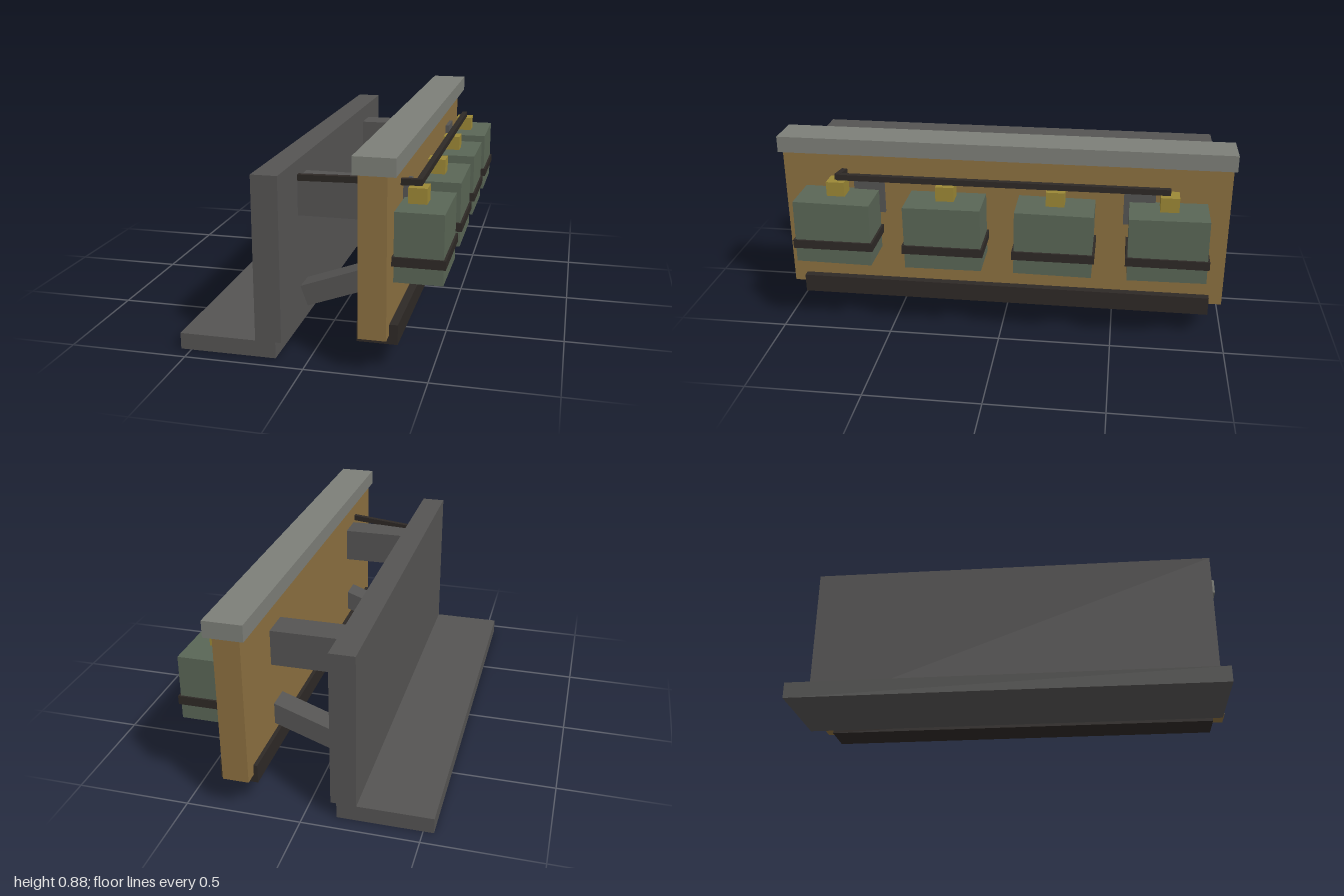
import * as THREE from 'three';

const mat = (color) => new THREE.MeshStandardMaterial({ color, flatShading: true });

export function createModel() {
  const model = new THREE.Group();
  const steel = mat(0x555453), wood = mat(0x8c7040), capGrey = mat(0x7d7f78);
  const green = mat(0x5a6656), brass = mat(0x9c8836), dark = mat(0x2e2926);

  // Box given by its extents on each axis
  function box(name, material, [x0, x1], [y0, y1], [z0, z1], parent = model) {
    const mesh = new THREE.Mesh(new THREE.BoxGeometry(x1 - x0, y1 - y0, z1 - z0), material);
    mesh.position.set((x0 + x1) / 2, (y0 + y1) / 2, (z0 + z1) / 2);
    mesh.name = name;
    parent.add(mesh);
    return mesh;
  }

  // Square bar running between two points
  function bar(name, material, from, to, height, width) {
    const a = new THREE.Vector3(...from), b = new THREE.Vector3(...to);
    const mesh = new THREE.Mesh(new THREE.BoxGeometry(width, height, a.distanceTo(b)), material);
    mesh.position.copy(a).add(b).multiplyScalar(0.5);
    mesh.lookAt(b);
    mesh.name = name;
    model.add(mesh);
  }

  // L-shaped steel support
  box('baseFlange', steel, [-0.545, -0.135], [0, 0.07], [-0.93, 0.93]);
  box('uprightWall', steel, [-0.22, -0.11], [0.07, 0.765], [-0.93, 0.93]);

  // Wooden panel with its cap and bottom rail
  box('woodPanel', wood, [0.22, 0.333], [0.15, 0.81], [-0.99, 0.99]);
  box('panelCap', capGrey, [0.2, 0.368], [0.805, 0.877], [-1, 1]);
  box('bottomRail', dark, [0.203, 0.367], [0.112, 0.195], [-0.93, 0.93]);

  // Arms and sloping braces joining wall and panel
  for (const s of [-1, 1]) {
    const z = s * 0.6;
    box('supportArm', steel, [-0.13, 0.35], [0.53, 0.69], [z - 0.068, z + 0.068]);
    bar('slopingBrace', steel, [-0.093, 0.168, z], [0.27, 0.3, z], 0.092, 0.11);
  }

  // Four strapped cells, each with a terminal on top
  [-0.725, -0.24, 0.24, 0.725].forEach((z, i) => {
    const cell = new THREE.Group();
    cell.name = 'cell';
    model.add(cell);
    const body = box('cellBody', green, [0.34, 0.535], [0.356, 0.64], [z - 0.168, z + 0.168], cell);
    body.rotation.x = [0.012, -0.01, 0.008, -0.012][i];
    box('cellStrap', dark, [0.333, 0.544], [0.425, 0.463], [z - 0.177, z + 0.177], cell);
    box('cellTerminal', brass, [0.37, 0.447], [0.63, 0.705], [z - 0.04, z + 0.04], cell);
  });

  // Bar linking the terminals and the lead back to the wall
  box('linkBar', dark, [0.396, 0.42], [0.705, 0.731], [-0.727, 0.727]);
  bar('leadBar', dark, [-0.12, 0.691, 0.655], [0.415, 0.719, 0.722], 0.026, 0.024);

  return model;
}
